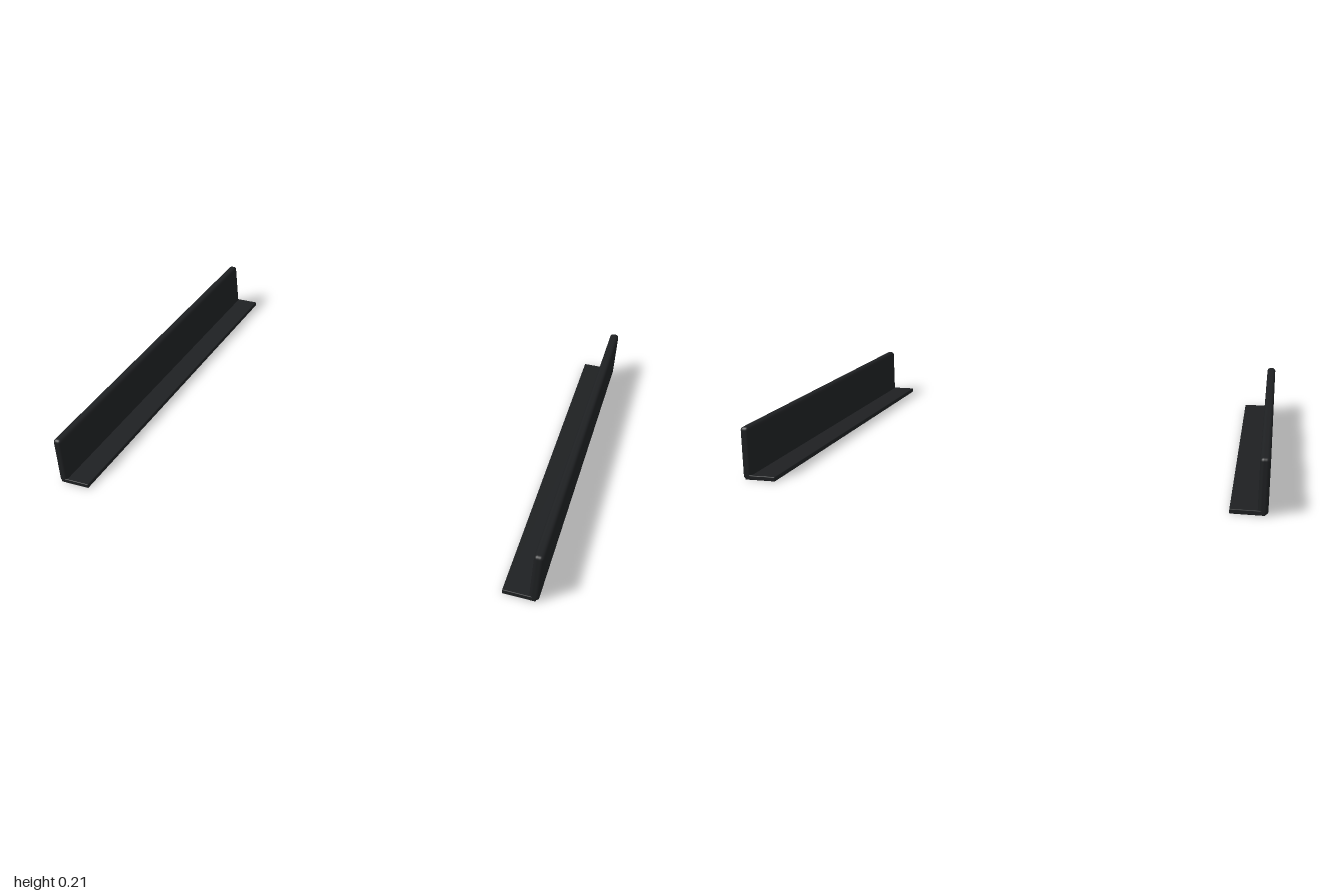
import * as THREE from 'three';
import { RoundedBoxGeometry } from 'three/addons/geometries/RoundedBoxGeometry.js';

const LENGTH = 1.63;
const HEIGHT = 0.21;
const WALL = 0.037;
const FLANGE_THICKNESS = 0.018;
const FLANGE_EDGE = 0.865; // distance of the inner flange edge from the middle

const material = new THREE.MeshStandardMaterial({ color: 0x1e2022 });

// One angle rail; side is +1 for left, -1 for right
function createRail(side) {
  const rail = new THREE.Group();
  rail.name = side > 0 ? 'leftRail' : 'rightRail';

  // Upright wall with softened edges
  const wall = new THREE.Mesh(new RoundedBoxGeometry(WALL, HEIGHT, LENGTH, 4, 0.014), material);
  wall.name = 'uprightWall';
  wall.position.set(side * (1 - WALL / 2), HEIGHT / 2, 0);

  // Thin flange turned inwards along the bottom
  const outer = 0.99;
  const width = outer - FLANGE_EDGE;
  const flange = new THREE.Mesh(new RoundedBoxGeometry(width, FLANGE_THICKNESS, LENGTH, 2, 0.003), material);
  flange.name = 'bottomFlange';
  flange.position.set(side * (outer - width / 2), FLANGE_THICKNESS / 2, 0);

  rail.add(wall, flange);
  return rail;
}

export function createModel() {
  const model = new THREE.Group();
  model.name = 'railPair';
  for (const side of [1, -1]) model.add(createRail(side));
  return model;
}
